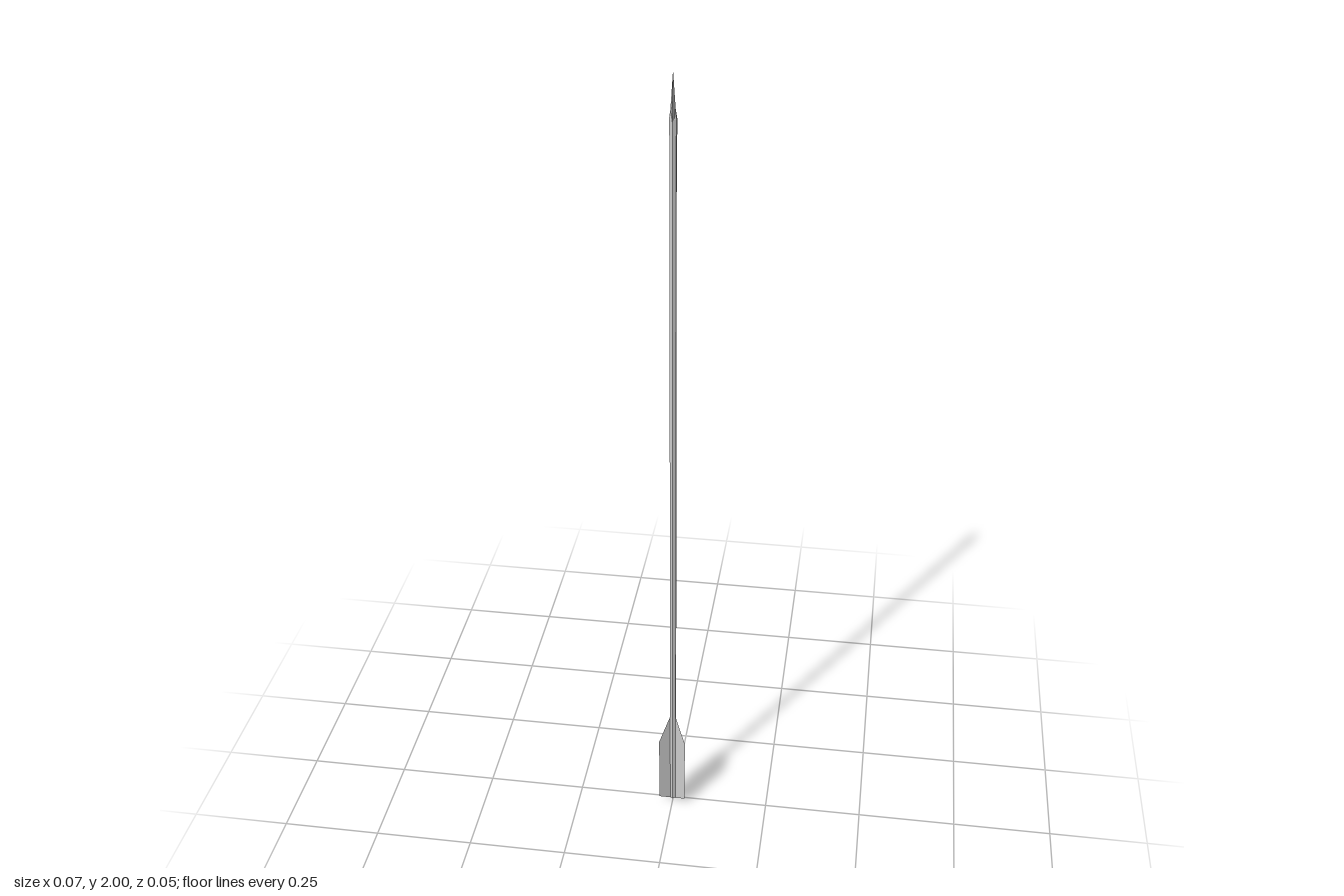
import * as THREE from 'three';

const grey = new THREE.MeshStandardMaterial({ color: 0xcccccc, flatShading: true });
const thin = new THREE.MeshStandardMaterial({ color: 0xcccccc, flatShading: true, side: THREE.DoubleSide });

function add(group, name, geometry, material = grey) {
  const mesh = new THREE.Mesh(geometry, material);
  mesh.name = name;
  group.add(mesh);
  return mesh;
}

// Pointed diamond blade: wide in z, slim in x, over a short tapered base
function bladeGeometry() {
  const rings = [[1.885, 0.006, 0.008], [1.91, 0.006, 0.0166], [2, 0, 0]];
  const pos = [], index = [];
  for (const [y, hx, hz] of rings) pos.push(hx, y, 0, 0, y, -hz, -hx, y, 0, 0, y, hz);
  for (let r = 0; r < rings.length - 1; r++) {
    for (let i = 0; i < 4; i++) {
      const a = r * 4 + i, b = r * 4 + (i + 1) % 4;
      index.push(a, b, a + 4);
      if (r === 0) index.push(b, b + 4, a + 4);
    }
  }
  const geo = new THREE.BufferGeometry();
  geo.setAttribute('position', new THREE.Float32BufferAttribute(pos, 3));
  geo.setIndex(index);
  geo.computeVertexNormals();
  return geo;
}

// Flat fletching vane, from the shaft axis out to the given width
function vaneGeometry(width) {
  const outline = [[0, 0], [width, 0.02], [width, 0.21], [0, 0.305]];
  return new THREE.ShapeGeometry(new THREE.Shape(outline.map(p => new THREE.Vector2(...p))));
}

export function createModel() {
  const arrow = new THREE.Group();
  arrow.name = 'arrow';
  arrow.position.z = 0.005;

  // Six-sided shaft
  const shaft = add(arrow, 'shaft', new THREE.CylinderGeometry(0.0085, 0.0085, 1.895, 6));
  shaft.position.y = 0.9525;

  // Arrowhead: socket, its taper and the blade
  const head = new THREE.Group();
  head.name = 'arrowhead';
  arrow.add(head);
  add(head, 'socket', new THREE.CylinderGeometry(0.0095, 0.0095, 0.035, 6)).position.y = 1.8775;
  add(head, 'socketTaper', new THREE.CylinderGeometry(0.002, 0.0095, 0.045, 6)).position.y = 1.9175;
  add(head, 'blade', bladeGeometry());

  // Three vanes: one to the back, two swept to the front sides
  const vanes = [[0, -0.031], [0.034, 0.021], [-0.034, 0.021]];
  for (const [x, z] of vanes) {
    const vane = add(arrow, 'vane', vaneGeometry(Math.hypot(x, z)), thin);
    vane.rotation.y = Math.atan2(-z, x);
  }
  return arrow;
}
